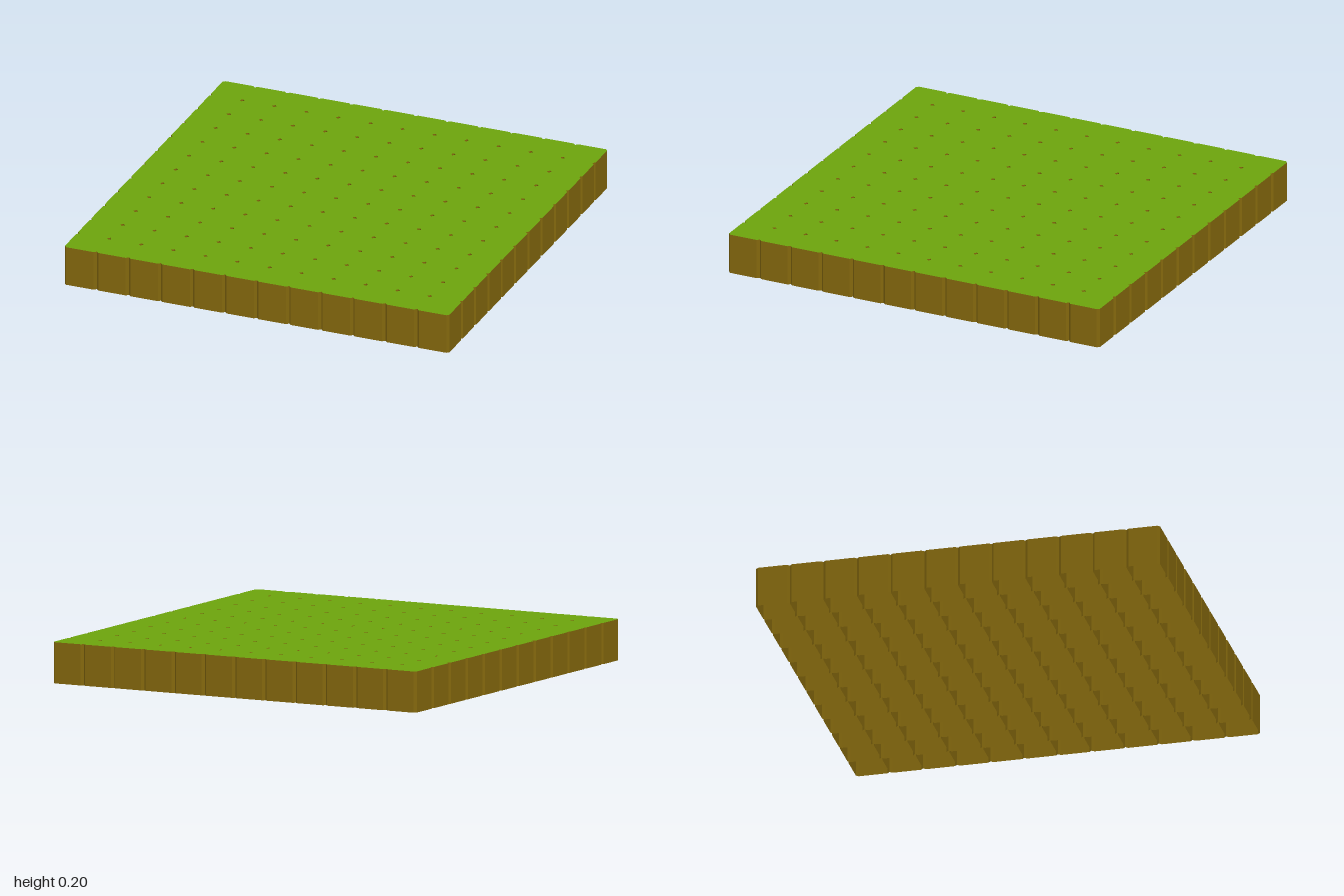
import * as THREE from 'three';

const COUNT = 12;          // tiles per side
const SIZE = 2 / COUNT;    // tile width
const HEIGHT = 0.2;
const CUT = 0.012;         // chamfer on the upright corners

// Tile outline: a square with small cut corners, counter-clockwise
function tileOutline() {
  const h = SIZE / 2, c = h - CUT;
  return [[c, -h], [h, -c], [h, c], [c, h], [-c, h], [-h, c], [-h, -c], [-c, -h]]
    .map(([x, y]) => new THREE.Vector2(x, y));
}

// Upright walls around the outline, open at the top and bottom
function wallGeometry(outline) {
  const positions = [];
  outline.forEach((p, i) => {
    const q = outline[(i + 1) % outline.length];
    const corners = [[p, 0], [q, 0], [q, HEIGHT], [p, 0], [q, HEIGHT], [p, HEIGHT]];
    for (const [v, y] of corners) positions.push(v.x, y, -v.y);
  });
  const geometry = new THREE.BufferGeometry();
  geometry.setAttribute('position', new THREE.Float32BufferAttribute(positions, 3));
  geometry.computeVertexNormals();
  return geometry;
}

export function createModel() {
  const grass = new THREE.MeshStandardMaterial({ color: 0x6ca40c, side: THREE.DoubleSide });
  grass.name = 'grass green';
  const soil = new THREE.MeshStandardMaterial({ color: 0x83670d, side: THREE.DoubleSide });
  soil.name = 'soil brown';

  const outline = tileOutline();
  const walls = wallGeometry(outline);
  const top = new THREE.ShapeGeometry(new THREE.Shape(outline));
  top.rotateX(-Math.PI / 2).translate(0, HEIGHT, 0);

  const model = new THREE.Group();
  model.name = 'grassField';

  // Hollow tiles in a square grid
  for (let row = 0; row < COUNT; row++) {
    for (let column = 0; column < COUNT; column++) {
      const tile = new THREE.Group();
      tile.name = `tile_${row}_${column}`;
      tile.position.set((column + 0.5) * SIZE - 1, 0, (row + 0.5) * SIZE - 1);

      const soilWalls = new THREE.Mesh(walls, soil);
      soilWalls.name = 'soilWalls';
      const grassTop = new THREE.Mesh(top, grass);
      grassTop.name = 'grassTop';

      tile.add(soilWalls, grassTop);
      model.add(tile);
    }
  }
  return model;
}
